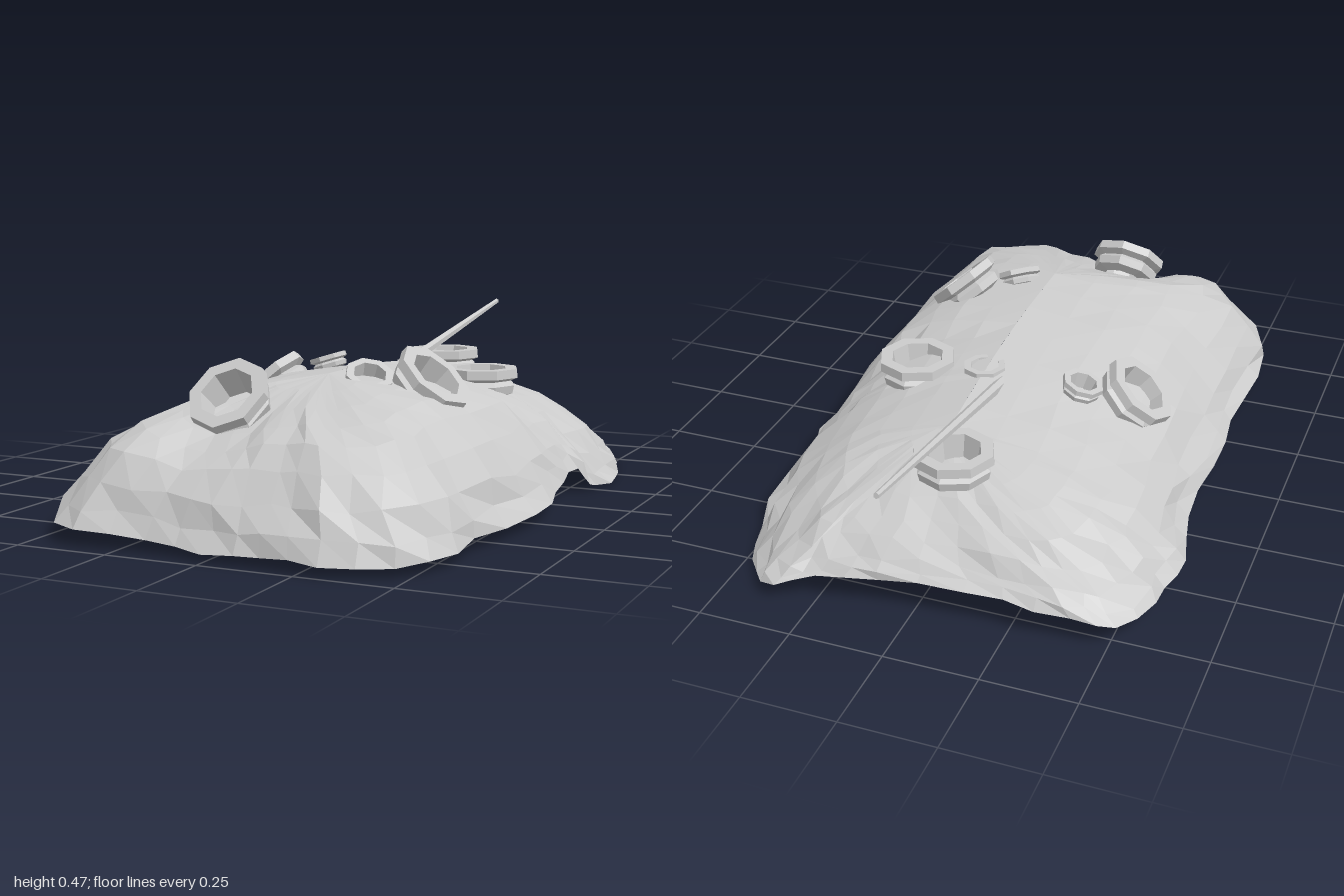
import * as THREE from 'three';

const material = new THREE.MeshStandardMaterial({
  color: 0xcccccc, flatShading: true, side: THREE.DoubleSide,
});
const { clamp, lerp } = THREE.MathUtils;

// Seeded random, -1..1
let seed = 7;
function jitter() {
  seed = (seed * 16807) % 2147483647;
  return (seed / 2147483647) * 2 - 1;
}

// Ragged lower edge of the mound: x, y, z
const RIM = [
  [0, 0.03, 0.97], [0.18, 0.04, 0.98], [0.36, 0.03, 0.99], [0.53, 0.04, 0.87],
  [0.55, 0.05, 0.6], [0.58, 0.04, 0.2], [0.55, 0.07, 0], [0.55, 0.08, -0.18],
  [0.57, 0.02, -0.25], [0.58, 0.015, -0.42], [0.53, 0.015, -0.62], [0.46, 0.02, -0.78],
  [0.36, 0.05, -0.885], [0.25, 0.08, -0.85], [0.05, 0.1, -0.83], [-0.2, 0.1, -0.81],
  [-0.4, 0.09, -0.81], [-0.53, 0.07, -0.76], [-0.58, 0.06, -0.6], [-0.595, 0.06, -0.45],
  [-0.55, 0.05, -0.2], [-0.55, 0.05, 0.1], [-0.54, 0.05, 0.4], [-0.54, 0.05, 0.75],
  [-0.42, 0.05, 0.94], [-0.2, 0.05, 0.95],
];

// Fall from ridge (0) to rim (1): a straight slope mixed with a steep outer drop
function fall(t, x, z) {
  const end = Math.min(1, Math.abs(z / 0.95) ** 4);
  const side = clamp(x / 0.3, -1, 1) * 0.5 + 0.5;
  const leftSlope = z < 0 ? 0.35 : 0.15;
  const slope = lerp(lerp(0.2, leftSlope, side), z > 0 ? 0.4 : 0.8, end);
  const power = lerp(lerp(3.5, 4, side), z > 0 ? 6 : 3, end);
  return slope * t + (1 - slope) * t ** power;
}

// Open shell: rings that grow from a central ridge out to the rim
function makeMound() {
  const rim = new THREE.CatmullRomCurve3(RIM.map((p) => new THREE.Vector3(...p)), true);
  const around = 60;
  const steps = [0, 0.2, 0.38, 0.54, 0.68, 0.8, 0.9, 0.96, 1];
  const pos = [];
  const index = [];
  steps.forEach((t, r) => {
    for (let i = 0; i < around; i++) {
      const p = rim.getPoint(i / around);
      const coreZ = clamp(p.z, -0.42, 0.4);
      const top = 0.39 - 0.13 * Math.max(0, 0.3 - coreZ) ** 2;
      const rough = t === 1 ? 0.008 : 0.014 * t;
      const x = lerp(0.05, p.x, t) + jitter() * rough;
      const z = lerp(coreZ, p.z, t) + jitter() * rough;
      // hollow in front of the front port
      const hollow = 0.05 * Math.exp(-((x + 0.1) ** 2 + (z - 0.73) ** 2) / 0.02);
      const y = lerp(top, p.y, fall(t, p.x, p.z)) - hollow + jitter() * rough * 0.7;
      pos.push(x, Math.max(0, y), z);
      if (r > 0) {
        const j = (i + 1) % around;
        const a = (r - 1) * around + i, b = r * around + i;
        const c = r * around + j, d = (r - 1) * around + j;
        index.push(a, b, c, a, c, d);
      }
    }
  });
  const geometry = new THREE.BufferGeometry();
  geometry.setAttribute('position', new THREE.Float32BufferAttribute(pos, 3));
  geometry.setIndex(index);
  const flat = geometry.toNonIndexed();
  flat.computeVertexNormals();
  return flat;
}

// Octagonal collar with a flange on top, opening along +y
const ringGeometry = new THREE.LatheGeometry([
  [0.06, -0.045], [0.095, -0.035], [0.1, -0.012], [0.085, 0], [0.11, 0.01],
  [0.108, 0.035], [0.074, 0.035], [0.06, -0.045],
].map(([x, y]) => new THREE.Vector2(x, y)), 8);

// Name, centre, facing, size
const RINGS = [
  ['frontPort', [-0.105, 0.34, 0.635], [-0.05, 0.68, 0.72], 1],
  ['leftPort', [0.285, 0.362, 0.29], [0.66, 0.75, 0.08], 1],
  ['rightPort', [-0.34, 0.29, -0.05], [-0.66, 0.75, 0.05], 1],
  ['leftRearPort', [0.26, 0.32, -0.155], [0, 1, 0], 1],
  ['rearPort', [-0.02, 0.32, -0.575], [0, 1, 0], 1],
  ['smallRightPort', [-0.22, 0.348, -0.155], [-0.3, 0.95, 0], 0.53],
  ['smallCentrePort', [0.06, 0.345, -0.155], [0, 1, 0], 0.55],
  ['smallLeftPort', [0.15, 0.375, 0.37], [0.35, 0.85, 0.4], 0.6],
];

export function createModel() {
  const model = new THREE.Group();
  const up = new THREE.Vector3(0, 1, 0);
  const add = (name, geometry) => {
    const mesh = new THREE.Mesh(geometry, material);
    mesh.name = name;
    model.add(mesh);
    return mesh;
  };

  add('mound', makeMound());

  for (const [name, centre, facing, size] of RINGS) {
    const ring = add(name, ringGeometry);
    ring.position.set(...centre);
    ring.quaternion.setFromUnitVectors(up, new THREE.Vector3(...facing).normalize());
    ring.scale.setScalar(size);
  }

  // Thin tapering pole leaning out over the back
  const base = new THREE.Vector3(-0.003, 0.325, -0.11);
  const tip = new THREE.Vector3(-0.006, 0.472, -0.998);
  const along = tip.clone().sub(base);
  const pole = add('pole', new THREE.CylinderGeometry(0.008, 0.018, along.length(), 6));
  pole.position.copy(base).add(tip).multiplyScalar(0.5);
  pole.quaternion.setFromUnitVectors(up, along.normalize());

  return model;
}
